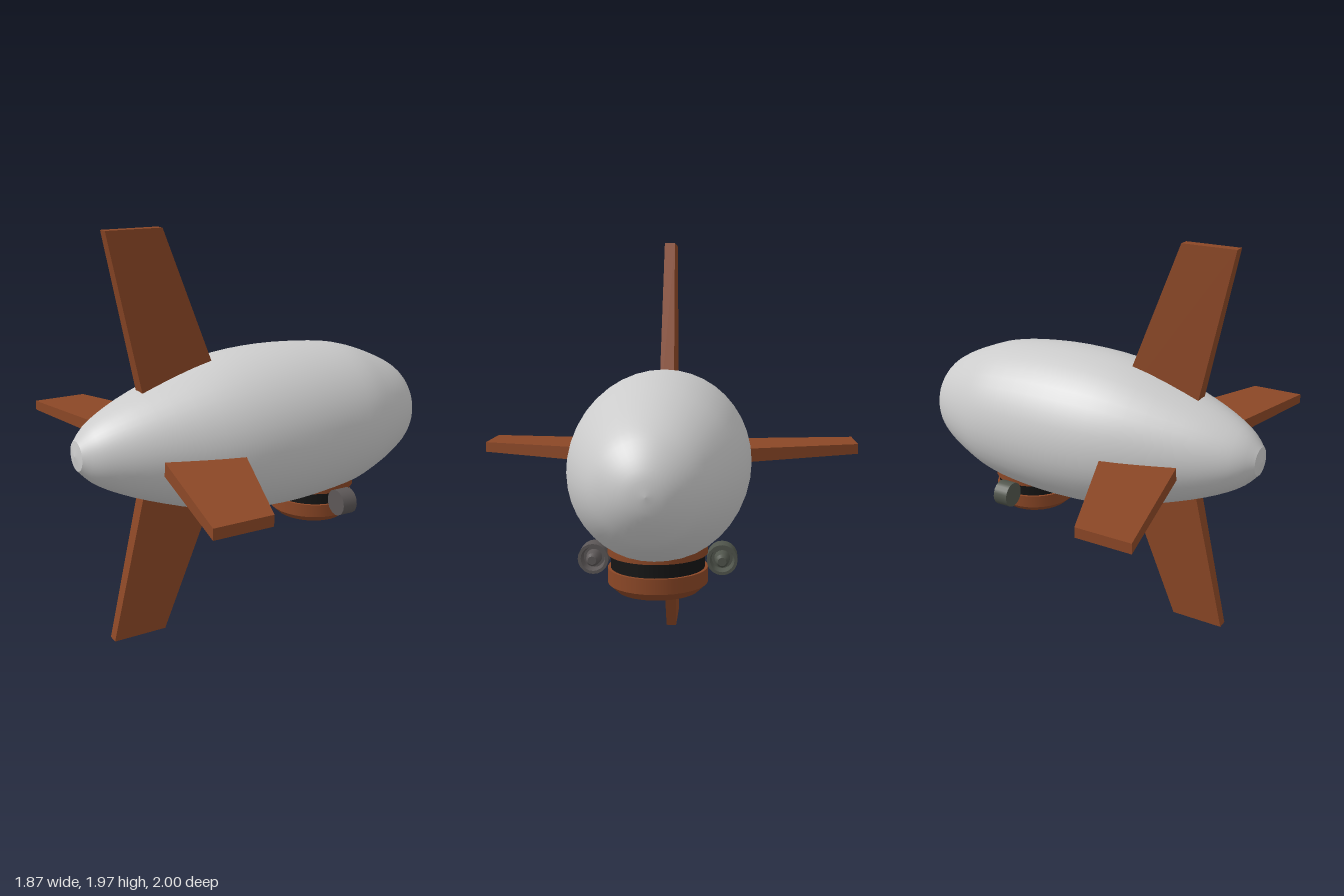
import * as THREE from 'three';

const material = (color) => new THREE.MeshStandardMaterial({ color });
const v2 = (list) => list.map(([r, h]) => new THREE.Vector2(r, h));

function add(parent, name, geometry, mat) {
  const mesh = new THREE.Mesh(geometry, mat);
  mesh.name = name;
  parent.add(mesh);
  return mesh;
}

// Lathe with a hard edge at every profile point
function hardLathe(points, segments) {
  const g = new THREE.Group();
  return { addTo(parent, name, mat) {
    g.name = name;
    for (let i = 0; i < points.length - 1; i++) {
      add(g, name + 'Band', new THREE.LatheGeometry(v2([points[i], points[i + 1]]), segments), mat);
    }
    parent.add(g);
    return g;
  } };
}

// Swept, tapered fin growing along +y from the hull axis; forward is -z
function finGeometry(span) {
  const g = new THREE.BoxGeometry(1, 1, 1);
  const p = g.attributes.position;
  for (let i = 0; i < p.count; i++) {
    const tip = p.getY(i) > 0, ahead = p.getZ(i) < 0;
    const thickness = tip ? 0.05 : 0.074;
    const s = ahead ? (tip ? -0.19 : 0.16) : (tip ? -0.464 : -0.27);
    p.setXYZ(i, Math.sign(p.getX(i)) * thickness / 2, tip ? span : 0.1, -s);
  }
  g.computeVertexNormals();
  return g;
}

export function createModel() {
  const model = new THREE.Group();
  model.name = 'airship';
  // Ship frame: nose along -z, turned to its diagonal heading
  const ship = new THREE.Group();
  ship.name = 'ship';
  ship.position.set(0.11, 0, 0.076);
  ship.rotation.y = -0.6;
  model.add(ship);

  const grey = material(0xcccccc), brown = material(0x8b4726), black = material(0x151515);

  // Hull: radius and station from tail to nose
  const curve = new THREE.SplineCurve(v2([
    [0.07, -0.62], [0.157, -0.524], [0.26, -0.304], [0.37, 0.055], [0.4, 0.4], [0.374, 0.75],
    [0.316, 0.95], [0.237, 1.114], [0.163, 1.192], [0.08, 1.24], [0, 1.255],
  ]));
  const profile = curve.getPoints(40);
  profile[40].x = 0;
  const hull = add(ship, 'hull', new THREE.LatheGeometry(profile, 40), grey);
  const tailCap = add(ship, 'tailCap', new THREE.LatheGeometry(v2([[0, -0.63], [0.07, -0.62]]), 40), grey);
  for (const part of [hull, tailCap]) {
    part.rotation.x = -Math.PI / 2;
    part.position.y = 0.975;
  }

  // Four tail fins
  const fins = [
    ['upperFin', 0, 0.983, 0.983], ['lowerFin', Math.PI, 0.983, 0.983],
    ['rightFin', Math.PI / 2, 0.94, 0.952], ['leftFin', -Math.PI / 2, 0.94, 0.952],
  ];
  for (const [name, angle, y, span] of fins) {
    const fin = add(ship, name, finGeometry(span), brown);
    fin.rotation.z = angle;
    fin.position.y = y;
  }

  // Gondola with a recessed window band
  const gondola = new THREE.Group();
  gondola.name = 'gondola';
  gondola.position.z = -0.684;
  ship.add(gondola);
  hardLathe([[0, 0.465], [0.175, 0.465], [0.213, 0.5], [0.213, 0.565], [0.195, 0.565]], 32)
    .addTo(gondola, 'cabin', brown);
  hardLathe([[0.2, 0.56], [0.2, 0.63]], 32).addTo(gondola, 'windowBand', black);
  hardLathe([[0.195, 0.625], [0.213, 0.625], [0.213, 0.68], [0, 0.68]], 32)
    .addTo(gondola, 'cabinRoof', brown);

  // Engine pods: closed at the rear, open ahead with a hub
  for (const [name, side, color] of [['leftEngine', 1, 0x5c5757], ['rightEngine', -1, 0x50554c]]) {
    const engine = new THREE.Group();
    engine.name = name;
    engine.position.set(side * 0.273, 0.6, -0.69);
    engine.rotation.x = -Math.PI / 2;
    ship.add(engine);
    const mat = material(color);
    hardLathe([[0, -0.05], [0.065, -0.05], [0.065, 0.03], [0.052, 0.03], [0.045, -0.01], [0, -0.01]], 20)
      .addTo(engine, 'duct', mat);
    hardLathe([[0.034, -0.01], [0.028, 0.04], [0.018, 0.058], [0, 0.058]], 16).addTo(engine, 'hub', mat);
  }
  return model;
}
